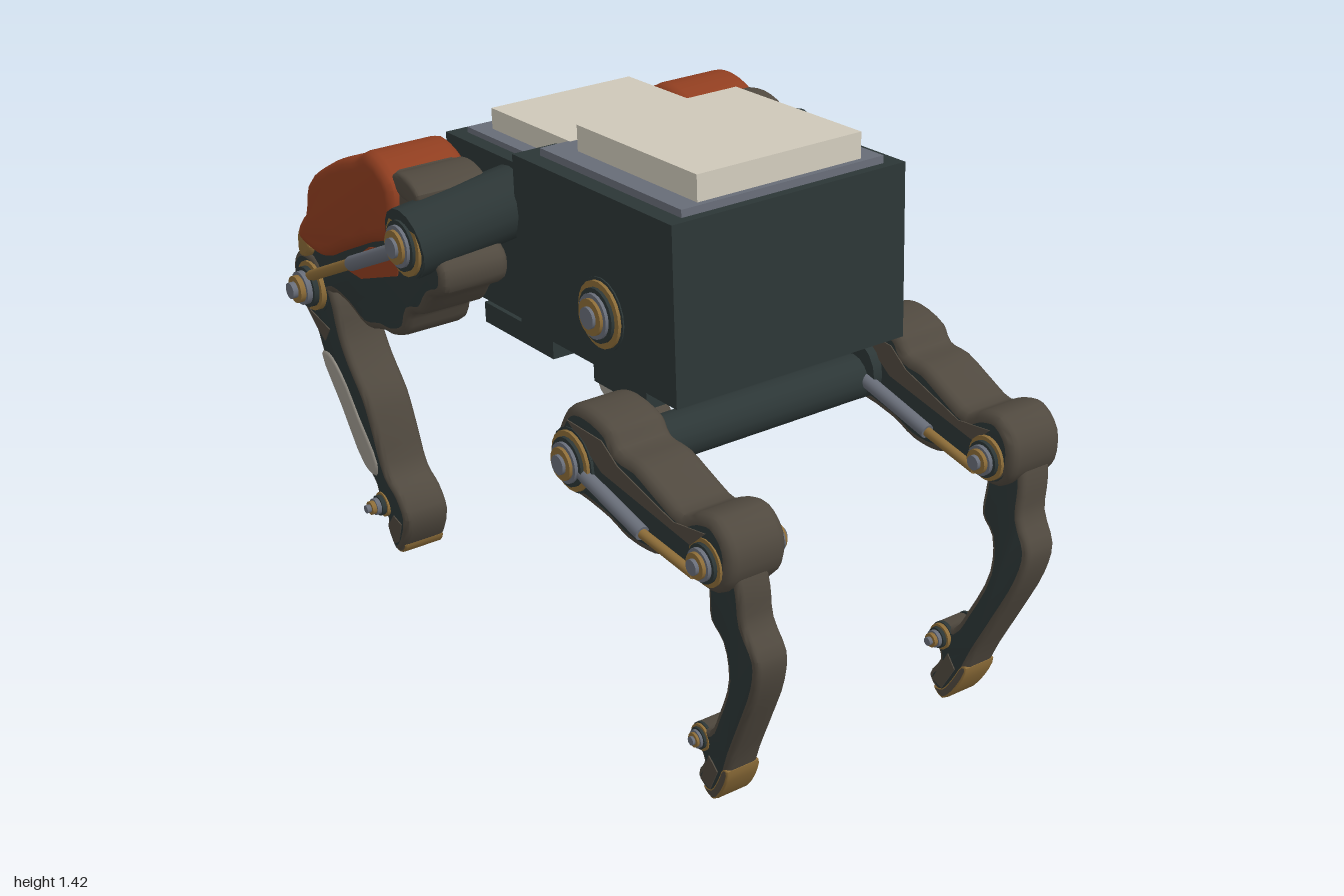
import * as THREE from 'three';
import { toCreasedNormals } from 'three/addons/utils/BufferGeometryUtils.js';

const paint = (name, color) => {
  const m = new THREE.MeshStandardMaterial({ color });
  m.name = name;
  return m;
};
const dark = paint('dark green metal', 0x2c3636);
const brown = paint('worn brown', 0x50493f);
const orange = paint('orange paint', 0x903e20);
const gold = paint('brass', 0x8c6c38);
const steel = paint('steel', 0x686d78);
const cream = paint('cream pad', 0xd0cabb);
const pale = paint('pale panel', 0x9f9a90);

function add(group, name, geo, mat) {
  const mesh = new THREE.Mesh(geo, mat);
  mesh.name = name;
  group.add(mesh);
  return mesh;
}

// Slide z sideways with x and y so a limb leans
function lean(geo, [x0, kx, y0, ky], z) {
  const p = geo.attributes.position;
  for (let i = 0; i < p.count; i++) {
    p.setZ(i, p.getZ(i) + z + (p.getX(i) - x0) * kx + (p.getY(i) - y0) * ky);
  }
  return toCreasedNormals(geo, 0.6);
}

const toShape = (pts, round) => {
  if (!round) return new THREE.Shape(pts.map(([x, y]) => new THREE.Vector2(x, y)));
  const c = new THREE.CatmullRomCurve3(pts.map(([x, y]) => new THREE.Vector3(x, y, 0)), true);
  return new THREE.Shape(c.getPoints(pts.length * 3).slice(0, -1).map(v => new THREE.Vector2(v.x, v.y)));
};

// Rounded limb segment from a side outline; materials are [flanks, rim]
function limb(group, name, pts, z, width, tilt, mats, bevel = 0.018) {
  const depth = width - 2 * bevel;
  const geo = new THREE.ExtrudeGeometry(toShape(pts, true), {
    depth, bevelEnabled: true, bevelSize: bevel, bevelOffset: -bevel, bevelThickness: bevel, bevelSegments: 3,
  });
  geo.translate(0, 0, -depth / 2);
  add(group, name, lean(geo, tilt, z), mats);
}

// Thin painted plates on both flanks of a limb
function plates(group, name, pts, z, width, tilt, mat) {
  for (const side of [-1, 1]) {
    const geo = new THREE.ExtrudeGeometry(toShape(pts, false), { depth: 0.006, bevelEnabled: false });
    geo.translate(0, 0, side * width / 2 - 0.003);
    add(group, name, lean(geo, tilt, z), mat);
  }
}

// Stepped bearing cap pointing along z
function pivot(group, name, x, y, z, r, len, dir = 1) {
  const g = new THREE.Group();
  g.name = name;
  [[1, dark], [0.92, gold], [0.75, dark], [0.62, steel], [0.5, gold], [0.3, steel]].forEach(([k, mat], i) => {
    const h = len * (i + 1) / 6;
    const geo = new THREE.CylinderGeometry(r * k, r * k, h, 20).rotateX(Math.PI / 2);
    add(g, 'bearingStep', geo.translate(x, y, z + dir * h / 2).toNonIndexed(), mat);
  });
  group.add(g);
}

function rod(group, name, a, b, r, mat) {
  const A = new THREE.Vector3(...a), B = new THREE.Vector3(...b);
  const geo = new THREE.CylinderGeometry(r, r, A.distanceTo(B), 16);
  geo.applyQuaternion(new THREE.Quaternion().setFromUnitVectors(
    new THREE.Vector3(0, 1, 0), B.clone().sub(A).normalize()));
  geo.translate((A.x + B.x) / 2, (A.y + B.y) / 2, (A.z + B.z) / 2);
  add(group, name, geo.toNonIndexed(), mat);
}

// Copy a group to the other side with its faces turned the right way round
function mirrored(group, name) {
  const copy = group.clone(true);
  copy.name = name;
  copy.traverse(o => {
    if (!o.isMesh) return;
    o.geometry = o.geometry.clone();
    for (const key of ['position', 'normal']) {
      const a = o.geometry.attributes[key];
      for (let i = 0; i < a.count; i += 3) {
        const t = [0, 2, 1].map(k => [a.getX(i + k), a.getY(i + k), -a.getZ(i + k)]);
        t.forEach((v, k) => a.setXYZ(i + k, ...v));
      }
    }
  });
  return copy;
}

function makeBody() {
  const g = new THREE.Group();
  g.name = 'body';
  const box = (name, x, y, w, h, d, mat) => {
    const m = add(g, name, new THREE.BoxGeometry(w, h, d), mat);
    m.position.set(x, y, 0);
    m.rotation.z = 0.052;
  };
  box('frontHull', 0.214, 1.1, 0.65, 0.44, 0.67, dark);
  box('rearHull', -0.292, 1.04, 0.415, 0.41, 0.58, dark);
  box('frontDeckPlate', 0.217, 1.327, 0.57, 0.025, 0.58, steel);
  box('rearDeckPlate', -0.29, 1.25, 0.36, 0.02, 0.5, steel);
  box('frontPad', 0.247, 1.374, 0.475, 0.065, 0.47, cream);
  box('rearPad', -0.238, 1.287, 0.355, 0.06, 0.42, cream);
  box('bellyPlate', -0.03, 0.842, 0.73, 0.055, 0.47, steel);
  box('rearSkid', -0.22, 0.785, 0.32, 0.055, 0.54, dark);
  box('frontSkid', 0.23, 0.81, 0.22, 0.05, 0.54, dark);
  rod(g, 'frontAxle', [0.39, 0.732, -0.36], [0.39, 0.732, 0.36], 0.06, dark);
  return g;
}

function makeRearLeg() {
  const g = new THREE.Group();
  g.name = 'rearLeftLeg';
  const tilt = [-0.35, 0.07, 0, 0];
  // Hip drum
  rod(g, 'hipDrum', [-0.19, 1.155, 0.29], [-0.19, 1.112, 0.6], 0.09, dark);
  pivot(g, 'hipBearing', -0.19, 1.11, 0.59, 0.085, 0.05);
  // Thigh
  limb(g, 'thighCore', [[-0.15, 1.17], [-0.21, 1.21], [-0.3, 1.235], [-0.42, 1.22], [-0.62, 1.14], [-0.8, 1.0],
    [-0.91, 0.87], [-0.93, 0.79], [-0.86, 0.71], [-0.76, 0.75], [-0.66, 0.75], [-0.56, 0.73], [-0.46, 0.76],
    [-0.4, 0.77], [-0.32, 0.81], [-0.29, 0.87], [-0.22, 0.9], [-0.17, 0.96], [-0.1, 1.0], [-0.095, 1.06],
    [-0.14, 1.1]], 0.445, 0.19, tilt, [dark, brown], 0.022);
  limb(g, 'thighShell', [[-0.31, 1.2], [-0.36, 1.24], [-0.45, 1.255], [-0.52, 1.22], [-0.6, 1.19], [-0.72, 1.13],
    [-0.83, 1.05], [-0.86, 0.96], [-0.91, 0.91], [-0.92, 0.865], [-0.84, 0.85], [-0.76, 0.86], [-0.66, 0.91],
    [-0.48, 1.0], [-0.32, 1.08]], 0.45, 0.235, tilt, orange, 0.03);
  plates(g, 'lowerThighPaint', [[-0.68, 0.86], [-0.56, 0.87], [-0.34, 0.96], [-0.31, 1.04], [-0.5, 0.98]],
    0.445, 0.19, tilt, orange);
  plates(g, 'thighWear', [[-0.3, 1.2], [-0.23, 1.18], [-0.27, 1.12], [-0.31, 1.1]], 0.445, 0.19, tilt, brown);
  limb(g, 'hipCap', [[-0.34, 1.23], [-0.27, 1.245], [-0.2, 1.22], [-0.21, 1.19], [-0.32, 1.19]],
    0.445, 0.2, tilt, brown, 0.012);
  limb(g, 'kneeStrap', [[-0.94, 0.875], [-0.9, 0.875], [-0.86, 0.85], [-0.88, 0.82], [-0.94, 0.8]],
    0.45, 0.21, tilt, gold, 0.012);
  // Pistons on both flanks
  for (const [z0, z1] of [[0.56, 0.525], [0.345, 0.305]]) {
    const zm = (z0 + z1) / 2;
    rod(g, 'pistonSleeve', [-0.2, 1.1, z0], [-0.58, 0.91, zm], 0.02, steel);
    rod(g, 'pistonRod', [-0.58, 0.91, zm], [-0.86, 0.77, z1], 0.015, gold);
  }
  pivot(g, 'kneeBearing', -0.875, 0.735, 0.49, 0.075, 0.09);
  pivot(g, 'innerKneeBearing', -0.875, 0.735, 0.345, 0.065, 0.045, -1);
  // Shin and foot
  const shin = [0, 0, 0.7, 0.09];
  limb(g, 'shin', [[-0.93, 0.82], [-0.985, 0.78], [-1, 0.7], [-0.96, 0.63], [-0.92, 0.6], [-0.89, 0.51], [-0.82, 0.38],
    [-0.73, 0.23], [-0.69, 0.19], [-0.68, 0.13], [-0.65, 0.1], [-0.66, 0.07], [-0.625, 0.005], [-0.59, 0.02],
    [-0.53, 0.14], [-0.56, 0.21], [-0.61, 0.25], [-0.64, 0.36], [-0.67, 0.46], [-0.73, 0.55], [-0.76, 0.62],
    [-0.78, 0.74], [-0.84, 0.81]], 0.435, 0.135, shin, [dark, brown]);
  limb(g, 'shinPanel', [[-0.9, 0.52], [-0.85, 0.54], [-0.79, 0.5], [-0.72, 0.39], [-0.65, 0.27], [-0.67, 0.22],
    [-0.735, 0.23], [-0.825, 0.38]], 0.435, 0.145, shin, pale, 0.015);
  plates(g, 'shinWear', [[-0.97, 0.72], [-0.92, 0.64], [-0.82, 0.62], [-0.86, 0.57], [-0.9, 0.6], [-0.96, 0.66]],
    0.435, 0.135, shin, brown);
  plates(g, 'footWear', [[-0.64, 0.08], [-0.62, 0.03], [-0.59, 0.05], [-0.56, 0.12], [-0.6, 0.13]],
    0.435, 0.135, shin, brown);
  limb(g, 'toeTip', [[-0.635, 0.02], [-0.625, 0.002], [-0.587, 0.015], [-0.57, 0.045], [-0.6, 0.035]],
    0.435, 0.12, shin, [brown, gold], 0.005);
  pivot(g, 'ankleBearing', -0.65, 0.145, 0.435, 0.038, 0.075);
  return g;
}

function makeFrontLeg() {
  const g = new THREE.Group();
  g.name = 'frontLeftLeg';
  const tilt = [0.5, -0.04, 0, 0];
  // Flank bearing on the hull
  pivot(g, 'hullBearing', 0.255, 1.025, 0.33, 0.09, 0.05);
  // Thigh
  limb(g, 'thigh', [[0.31, 0.76], [0.33, 0.83], [0.37, 0.885], [0.43, 0.9], [0.52, 0.88], [0.55, 0.845], [0.62, 0.84],
    [0.7, 0.81], [0.78, 0.785], [0.83, 0.81], [0.89, 0.82], [0.945, 0.77], [0.945, 0.69], [0.9, 0.64], [0.82, 0.64],
    [0.74, 0.66], [0.68, 0.635], [0.59, 0.63], [0.52, 0.65], [0.44, 0.66], [0.36, 0.67]],
  0.425, 0.16, tilt, [dark, brown], 0.024);
  plates(g, 'thighWear', [[0.37, 0.85], [0.5, 0.85], [0.56, 0.81], [0.76, 0.76], [0.87, 0.78], [0.82, 0.73],
    [0.66, 0.75], [0.5, 0.77]], 0.425, 0.16, tilt, brown);
  rod(g, 'hipDrum', [0.39, 0.755, 0.32], [0.39, 0.755, 0.51], 0.08, dark);
  pivot(g, 'hipBearing', 0.39, 0.755, 0.505, 0.08, 0.05);
  pivot(g, 'kneeBearing', 0.87, 0.71, 0.475, 0.062, 0.055);
  pivot(g, 'innerKneeBearing', 0.87, 0.71, 0.34, 0.06, 0.06, -1);
  for (const z of [0.515, 0.32]) {
    rod(g, 'pistonSleeve', [0.42, 0.745, z], [0.67, 0.695, z], 0.018, steel);
    rod(g, 'pistonRod', [0.67, 0.695, z], [0.85, 0.675, z - 0.01], 0.012, gold);
  }
  // Shin and foot
  const shin = [0, 0, 0.7, 0.09];
  limb(g, 'shin', [[0.82, 0.72], [0.87, 0.76], [0.93, 0.72], [0.95, 0.65], [0.955, 0.57], [0.995, 0.5], [0.985, 0.42],
    [0.93, 0.29], [0.875, 0.17], [0.835, 0.07], [0.79, 0.005], [0.73, 0.04], [0.76, 0.1], [0.74, 0.14],
    [0.735, 0.19], [0.79, 0.2], [0.83, 0.27], [0.88, 0.4], [0.87, 0.49], [0.83, 0.53], [0.83, 0.62]],
  0.418, 0.092, shin, [dark, brown], 0.015);
  limb(g, 'toeCap', [[0.79, 0.002], [0.755, 0.02], [0.785, 0.03], [0.815, 0.075], [0.84, 0.12], [0.857, 0.12],
    [0.837, 0.06]], 0.418, 0.094, shin, [brown, gold], 0.005);
  plates(g, 'footWear', [[0.75, 0.04], [0.785, 0.03], [0.82, 0.1], [0.79, 0.13]], 0.418, 0.092, shin, brown);
  pivot(g, 'ankleBearing', 0.76, 0.165, 0.405, 0.036, 0.04);
  pivot(g, 'innerAnkleBearing', 0.76, 0.165, 0.335, 0.036, 0.06, -1);
  return g;
}

export function createModel() {
  const model = new THREE.Group();
  model.name = 'fourLeggedWalker';
  const rear = makeRearLeg(), front = makeFrontLeg();
  model.add(makeBody(), rear, front, mirrored(rear, 'rearRightLeg'), mirrored(front, 'frontRightLeg'));
  return model;
}
